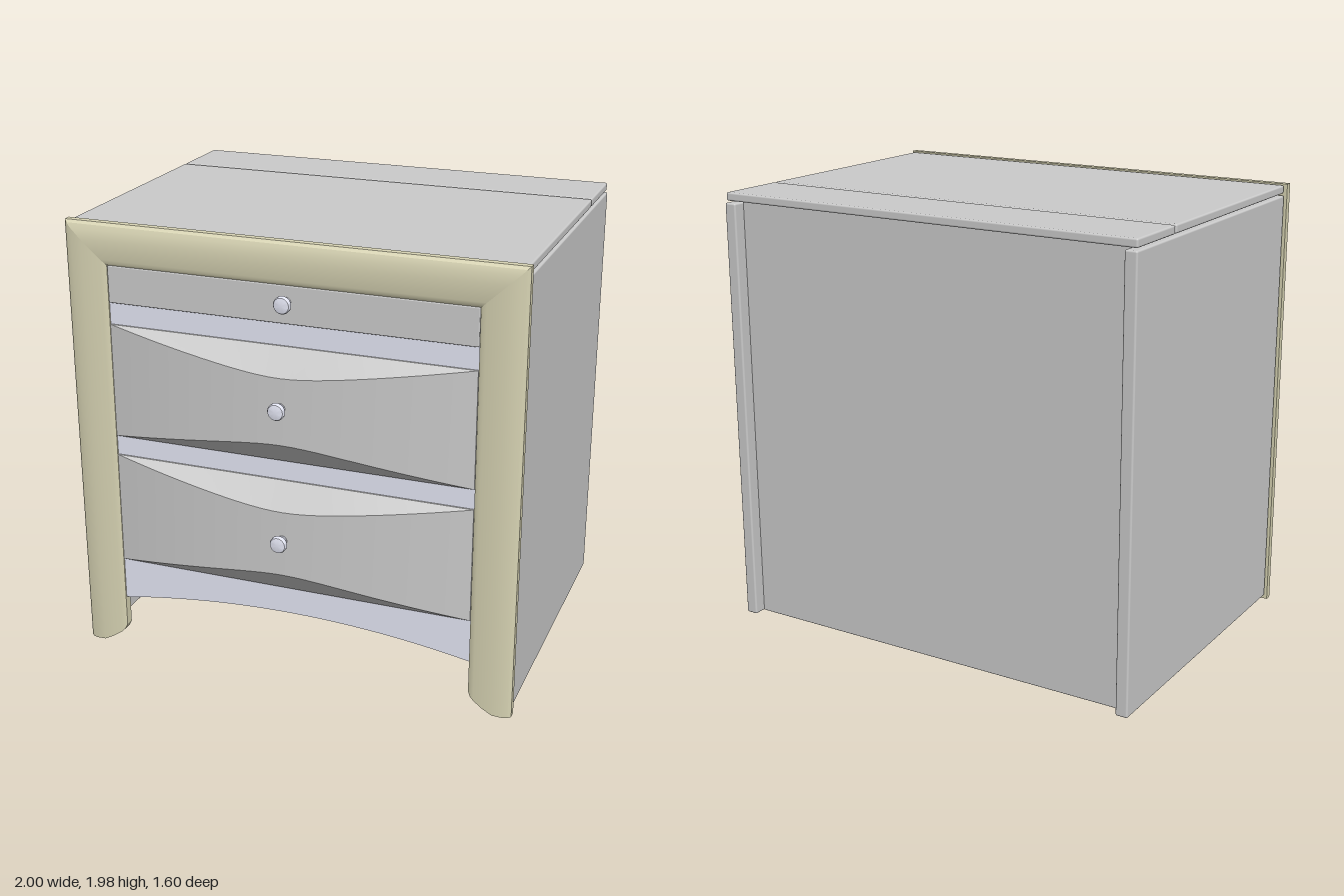
import * as THREE from 'three';
import { toCreasedNormals } from 'three/addons/utils/BufferGeometryUtils.js';
import { RoundedBoxGeometry } from 'three/addons/geometries/RoundedBoxGeometry.js';

const grey = new THREE.MeshStandardMaterial({ color: 0xcccccc });
const cream = new THREE.MeshStandardMaterial({ color: 0xd8d4b4 });
const pale = new THREE.MeshStandardMaterial({ color: 0xe4e6f4 });

// Skin between closed loops of [x, y, z]; point j of a loop faces point n-1-j across its cap
function loft(sections, crease = 0.4) {
  const pos = [];
  const quad = (a, b, c, d) => pos.push(...a, ...b, ...c, ...a, ...c, ...d);
  const n = sections[0].length;
  for (let i = 0; i < sections.length - 1; i++) {
    const p = sections[i], q = sections[i + 1];
    for (let j = 0; j < n; j++) quad(p[j], q[j], q[(j + 1) % n], p[(j + 1) % n]);
  }
  const first = sections[0], last = sections[sections.length - 1];
  for (let j = 0; j < n / 2 - 1; j++) {
    quad(first[j], first[j + 1], first[n - 2 - j], first[n - 1 - j]);
    quad(last[n - 1 - j], last[n - 2 - j], last[j + 1], last[j]);
  }
  const geo = new THREE.BufferGeometry();
  geo.setAttribute('position', new THREE.Float32BufferAttribute(pos, 3));
  return toCreasedNormals(geo, crease);
}

// Rounded board given by its extents
function board(x0, x1, y0, y1, z0, z1, r = 0.008) {
  const geo = new RoundedBoxGeometry(x1 - x0, y1 - y0, z1 - z0, 2, r);
  return geo.translate((x0 + x1) / 2, (y0 + y1) / 2, (z0 + z1) / 2);
}

// Drawer front that bows out, with sloped lens-shaped bands above and below
function bowedFront(y0, y1) {
  const sections = [], steps = 32, half = 0.808, c = 0.04;
  for (let i = 0; i <= steps; i++) {
    const t = (i / steps) * 2 - 1, x = t * half;
    const band = 1 - (Math.sqrt(t * t + c) - Math.sqrt(c)) / (Math.sqrt(1 + c) - Math.sqrt(c));
    const z = 0.66 + 0.083 * (1 - t * t);
    sections.push([
      [x, y0, 0.625], [x, y0, 0.66], [x, y0 + 0.105 * band, z],
      [x, y1 - 0.11 * band, z], [x, y1, 0.66], [x, y1, 0.625],
    ]);
  }
  return loft(sections);
}

// Moulding of the front frame: [distance from the outer edge, front z, foot y]
const moulding = [
  [0, 0.652, 0], [0.012, 0.664, 0], [0.035, 0.672, 0], [0.08, 0.676, 0.004],
  [0.125, 0.674, 0.028], [0.165, 0.669, 0.055], [0.18, 0.666, 0.07], [0.19, 0.66, 0.092],
];
function frameSection(side, yAt) {
  const front = moulding.map(([s, z, foot]) => [side * (1 - s), yAt(s, foot), z]);
  const back = front.map(([x, y]) => [x, y, 0.62]).reverse();
  return [...front, ...back];
}
const mitre = (side) => frameSection(side, (s) => 1.98 - s * (0.18 / 0.19));
const foot = (side) => frameSection(side, (s, y) => y);

export function createModel() {
  const model = new THREE.Group();
  const add = (name, geo, mat = grey) => {
    const mesh = new THREE.Mesh(geo, mat);
    mesh.name = name;
    model.add(mesh);
    return mesh;
  };

  // Carcass: sides, recessed back, top in two boards, open underneath
  add('leftSide', board(0.935, 0.99, 0.02, 1.93, -0.8, 0.615));
  add('rightSide', board(-0.99, -0.935, 0.02, 1.93, -0.8, 0.615));
  add('backPanel', board(-0.937, 0.937, 0.02, 1.945, -0.745, -0.72, 0.004));
  add('topFront', board(-0.987, 0.987, 1.938, 1.975, -0.465, 0.615));
  add('topBack', board(-0.987, 0.987, 1.938, 1.975, -0.793, -0.475));

  // Mitred front frame
  add('leftPost', loft([foot(1), mitre(1)]), cream);
  add('rightPost', loft([mitre(-1), foot(-1)]), cream);
  add('topRail', loft([mitre(1), mitre(-1)]), cream);

  // Rails between the drawers
  for (const [name, y0, y1] of [['upperRail', 1.54, 1.635], ['middleRail', 0.94, 1.03]]) {
    add(name, new THREE.BoxGeometry(1.63, y1 - y0, 0.03).translate(0, (y0 + y1) / 2, 0.638), pale);
  }

  // Arched apron
  const arch = new THREE.Shape();
  arch.moveTo(-0.815, 0.43);
  arch.lineTo(-0.815, 0.23);
  arch.quadraticCurveTo(0, 0.38, 0.815, 0.23);
  arch.lineTo(0.815, 0.43);
  const apron = new THREE.ExtrudeGeometry(arch, { depth: 0.03, bevelEnabled: false, curveSegments: 24 });
  add('apron', apron.translate(0, 0, 0.623), pale);

  // Drawer fronts
  add('topDrawer', board(-0.808, 0.808, 1.637, 1.8, 0.625, 0.664, 0.005));
  add('middleDrawer', bowedFront(1.03, 1.54));
  add('bottomDrawer', bowedFront(0.43, 0.94));

  // Turned knobs
  const profile = [
    [0, -0.01], [0.022, -0.01], [0.022, 0.006], [0.016, 0.01], [0.016, 0.026],
    [0.033, 0.028], [0.037, 0.034], [0.037, 0.046], [0.033, 0.053], [0.02, 0.056], [0, 0.057],
  ].map(([r, y]) => new THREE.Vector2(r, y));
  const knob = toCreasedNormals(new THREE.LatheGeometry(profile, 28), 0.7).rotateX(Math.PI / 2);
  for (const [name, y, z] of [['topKnob', 1.73, 0.664], ['middleKnob', 1.3, 0.743], ['bottomKnob', 0.7, 0.743]]) {
    add(name, knob, pale).position.set(0, y, z);
  }
  return model;
}
